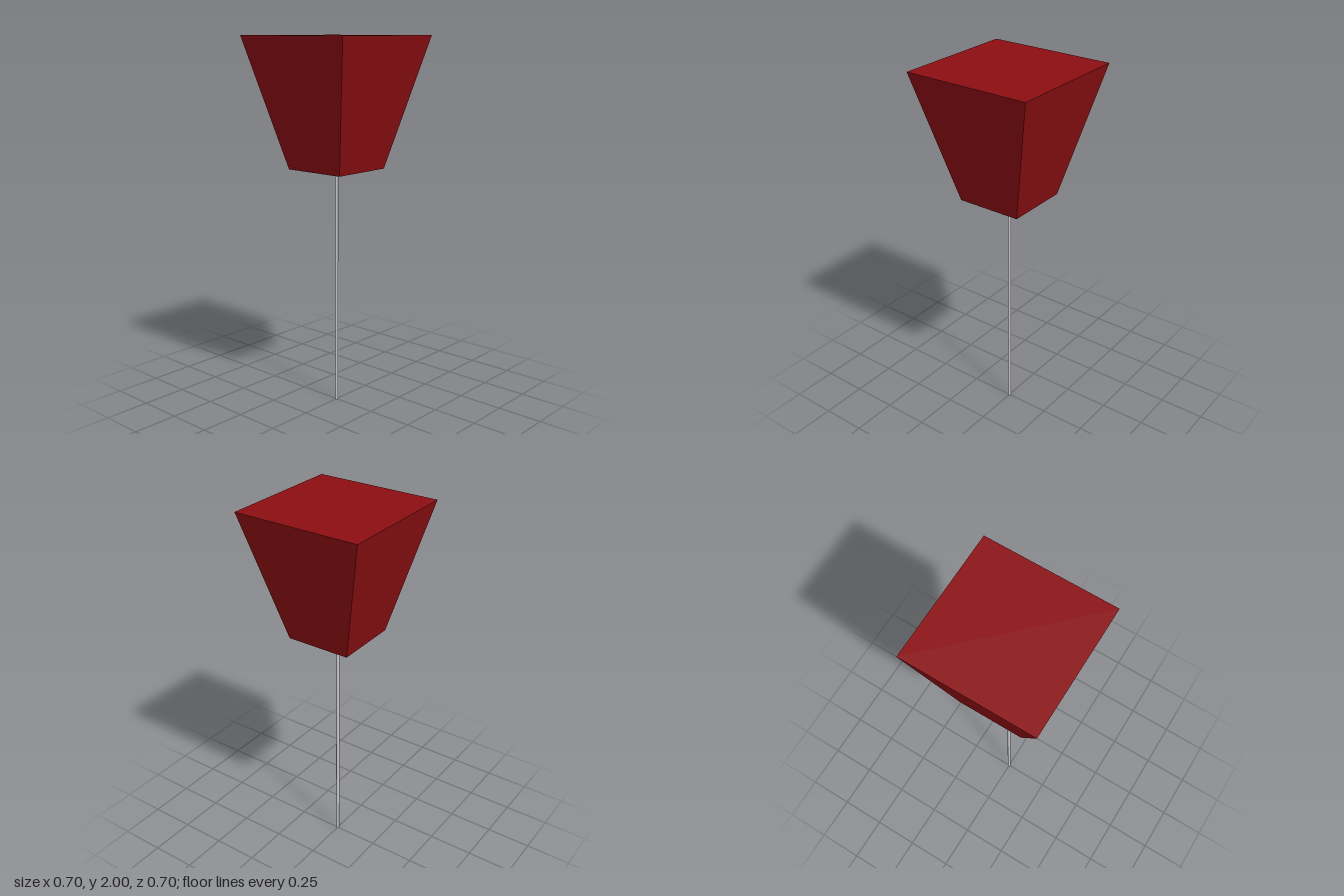
import * as THREE from 'three';

const BASE_Y = 1.307, TOP_Y = 2, BASE_HALF = 0.178, TOP_HALF = 0.348, STICK_RADIUS = 0.009;

export function createModel() {
  const group = new THREE.Group();
  group.name = 'blockOnStick';

  // Tapered square block: a box whose lower face is drawn in
  const height = TOP_Y - BASE_Y;
  const blockGeometry = new THREE.BoxGeometry(TOP_HALF * 2, height, TOP_HALF * 2);
  const position = blockGeometry.attributes.position;
  for (let i = 0; i < position.count; i++) {
    if (position.getY(i) < 0) {
      position.setX(i, Math.sign(position.getX(i)) * BASE_HALF);
      position.setZ(i, Math.sign(position.getZ(i)) * BASE_HALF);
    }
  }
  blockGeometry.computeVertexNormals();
  const block = new THREE.Mesh(
    blockGeometry,
    new THREE.MeshStandardMaterial({ color: 0x8b0e12 })
  );
  block.name = 'taperedBlock';
  block.position.y = BASE_Y + height / 2;
  group.add(block);

  // Thin round stick from the ground to the underside of the block
  const stick = new THREE.Mesh(
    new THREE.CylinderGeometry(STICK_RADIUS, STICK_RADIUS, BASE_Y, 16),
    new THREE.MeshStandardMaterial({ color: 0xcccccc })
  );
  stick.name = 'stick';
  stick.position.y = BASE_Y / 2;
  group.add(stick);

  return group;
}
